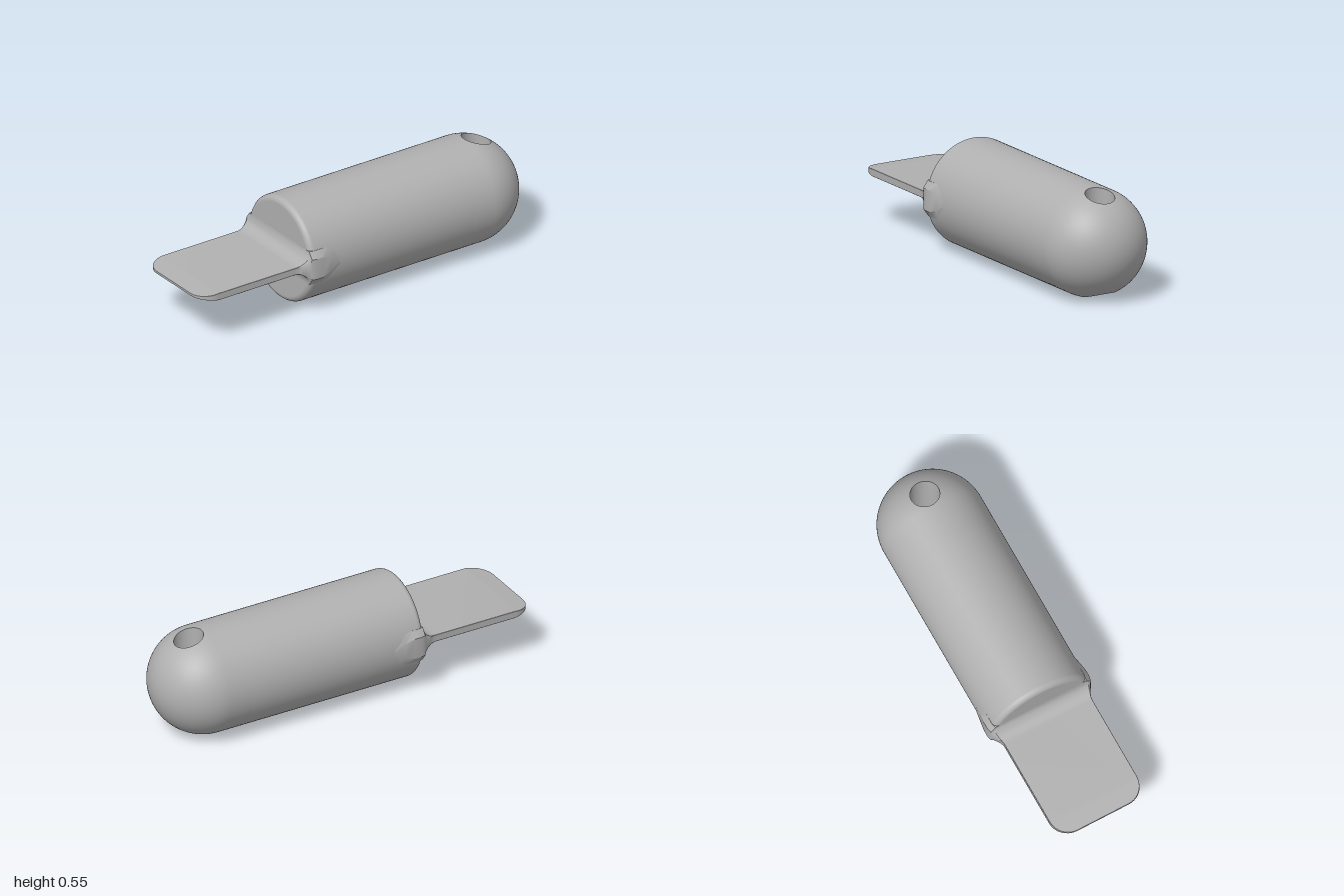
import * as THREE from 'three';
import { mergeGeometries, mergeVertices, toCreasedNormals } from 'three/addons/utils/BufferGeometryUtils.js';

const R = 0.2725;           // handle radius
const AXIS_Y = 0.2755;      // height of the handle axis
const DOME_X = 1 - R;       // centre of the rounded end
const BACK_X = -0.37;       // flat end of the handle
const PATCH_X = 0.6;        // where the plain barrel meets the drilled end
const HOLE = { x: 0.805, r: 0.073 };

// Skin closed loops of [x, y, z] points, one row after another
function skin(rows, flip = false) {
  const n = rows[0].length, index = [];
  for (let k = 0; k < rows.length - 1; k++) {
    for (let i = 0; i < n; i++) {
      const j = (i + 1) % n;
      const a = k * n + i, b = a + n, c = (k + 1) * n + j, d = k * n + j;
      if (flip) index.push(a, c, b, a, d, c);
      else index.push(a, b, c, a, c, d);
    }
  }
  const g = new THREE.BufferGeometry();
  g.setAttribute('position', new THREE.Float32BufferAttribute(rows.flat(2), 3));
  g.setIndex(index);
  return g;
}

// Half height of the capsule above its axis
function capsuleHeight(x, z) {
  const dx = Math.max(0, x - DOME_X);
  return Math.sqrt(Math.max(0, R * R - z * z - dx * dx));
}

// Plan outline of the drilled end, counterclockwise from above
function endOutline() {
  const pts = [];
  for (let i = 0; i < 48; i++) pts.push([PATCH_X, -R * Math.cos(Math.PI * i / 48)]);
  for (let i = 0; i < 6; i++) pts.push([PATCH_X + (DOME_X - PATCH_X) * i / 6, R]);
  for (let i = 0; i < 64; i++) {
    const a = Math.PI * i / 64;
    pts.push([DOME_X + R * Math.sin(a), R * Math.cos(a)]);
  }
  for (let i = 0; i < 6; i++) pts.push([DOME_X - (DOME_X - PATCH_X) * i / 6, -R]);
  return pts;
}

// Rings running from the hole rim out to the outline; side is +1 top, -1 bottom
function endRows(side) {
  const outline = endOutline(), rows = [], steps = 28;
  for (let k = 0; k <= steps; k++) {
    const t = Math.sin(Math.PI / 2 * k / steps);
    rows.push(outline.map(([ox, oz]) => {
      const s = HOLE.r / Math.hypot(ox - HOLE.x, oz);
      const hx = HOLE.x + (ox - HOLE.x) * s, hz = oz * s;
      const x = hx + (ox - hx) * t, z = hz + (oz - hz) * t;
      return [x, side * capsuleHeight(x, z), z];
    }));
  }
  return rows;
}

// Barrel with a softly rounded back rim, joined to the drilled dome
function handleGeometry(top, bottom) {
  const rim = 0.03, profile = [new THREE.Vector2(0, BACK_X)];
  for (let i = 0; i <= 6; i++) {
    const a = Math.PI / 2 * i / 6;
    profile.push(new THREE.Vector2(R - rim + rim * Math.sin(a), BACK_X + rim - rim * Math.cos(a)));
  }
  profile.push(new THREE.Vector2(R, PATCH_X));
  const barrel = new THREE.LatheGeometry(profile, 96).rotateZ(-Math.PI / 2);
  barrel.deleteAttribute('normal');
  barrel.deleteAttribute('uv');
  const g = mergeVertices(mergeGeometries([barrel, skin(top), skin(bottom, true)]), 1e-4);
  g.computeVertexNormals();
  return g;
}

// One chamfered cross-section of the blade
function bladeSection(x, w, edge, t, c) {
  return [
    [w - c, t], [c - w, t], [-w, edge], [-w, -edge],
    [c - w, -t], [w - c, -t], [w, -edge], [w, edge],
  ].map(([z, y]) => [x, y, z]);
}

function bladeGeometry() {
  const rows = [Array.from({ length: 8 }, () => [-1, 0, 0])];
  // Rounded corners and thinning tip
  for (let i = 0; i <= 10; i++) {
    const a = Math.PI / 2 * i / 10, d = 1 - Math.cos(a);
    const t = 0.006 + 0.0125 * d;
    rows.push(bladeSection(-1 + 0.1 * d, 0.143 + 0.1 * Math.sin(a), t - 0.001, t, 0.001));
  }
  // Concave flare into the handle
  for (let i = 0; i <= 10; i++) {
    const a = Math.PI / 2 * i / 10, s = Math.sin(a), d = 1 - Math.cos(a);
    const w = 0.243 + 0.034 * s * s * (1.6 - 0.6 * s);
    rows.push(bladeSection(-0.45 + 0.08 * s, w, 0.0175 + 0.0375 * d, 0.0185 + 0.0715 * d, 0.001 + 0.024 * d));
  }
  // Side shoulders fading into the barrel
  rows.push(bladeSection(-0.345, 0.283, 0.055, 0.09, 0.025));
  rows.push(bladeSection(-0.31, 0.283, 0.055, 0.09, 0.025));
  rows.push(bladeSection(-0.26, 0.278, 0.04, 0.09, 0.022));
  rows.push(bladeSection(-0.19, 0.271, 0.012, 0.085, 0.02));
  return toCreasedNormals(skin(rows), 0.6);
}

export function createModel() {
  const group = new THREE.Group();
  group.name = 'roundedHandleTool';
  const grey = new THREE.MeshStandardMaterial({ color: 0xb0b0b0 });
  grey.name = 'plainGrey';

  const top = endRows(1), bottom = endRows(-1);
  const wall = skin([bottom[0], top[0]]);
  wall.computeVertexNormals();

  const parts = {
    handle: handleGeometry(top, bottom),
    holeWall: wall,
    blade: bladeGeometry(),
  };
  for (const [name, geometry] of Object.entries(parts)) {
    const mesh = new THREE.Mesh(geometry, grey);
    mesh.name = name;
    mesh.position.y = AXIS_Y;
    group.add(mesh);
  }
  return group;
}
